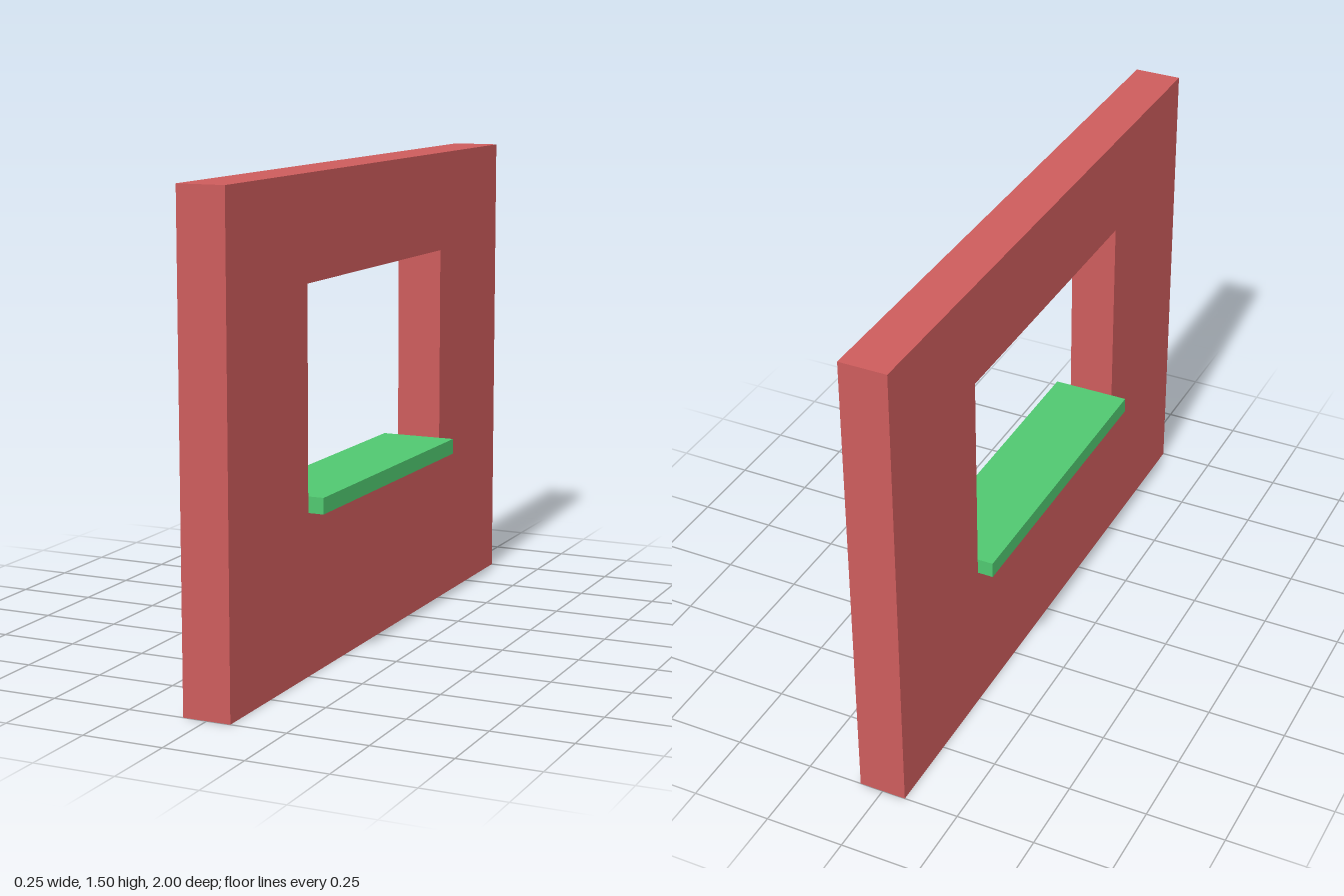
import * as THREE from 'three';

const WALL = { length: 2, height: 1.5, thickness: 0.15 };
const OPENING = { width: 1, bottom: 0.5, top: 1.18 };
const SILL = { depth: 0.25, height: 0.05 };

// Trace a rectangle centred on x = 0 onto a shape or path
function rectangle(path, width, bottom, top) {
  const h = width / 2;
  path.moveTo(-h, bottom);
  path.lineTo(h, bottom);
  path.lineTo(h, top);
  path.lineTo(-h, top);
  path.closePath();
  return path;
}

export function createModel() {
  const model = new THREE.Group();
  model.name = 'wallWithWindow';

  // Wall slab with a window opening, running along z
  const outline = rectangle(new THREE.Shape(), WALL.length, 0, WALL.height);
  outline.holes.push(rectangle(new THREE.Path(), OPENING.width, OPENING.bottom, OPENING.top));
  const wallGeometry = new THREE.ExtrudeGeometry(outline, { depth: WALL.thickness, bevelEnabled: false });
  wallGeometry.translate(0, 0, -WALL.thickness / 2);
  wallGeometry.rotateY(Math.PI / 2);
  const wall = new THREE.Mesh(wallGeometry, new THREE.MeshStandardMaterial({ color: 0xcd5c5c }));
  wall.name = 'wall';
  model.add(wall);

  // Sill board resting in the opening and projecting on both faces
  const sill = new THREE.Mesh(
    new THREE.BoxGeometry(SILL.depth, SILL.height, OPENING.width),
    new THREE.MeshStandardMaterial({ color: 0x50c870 })
  );
  sill.name = 'windowSill';
  sill.position.y = OPENING.bottom + SILL.height / 2;
  model.add(sill);

  return model;
}
